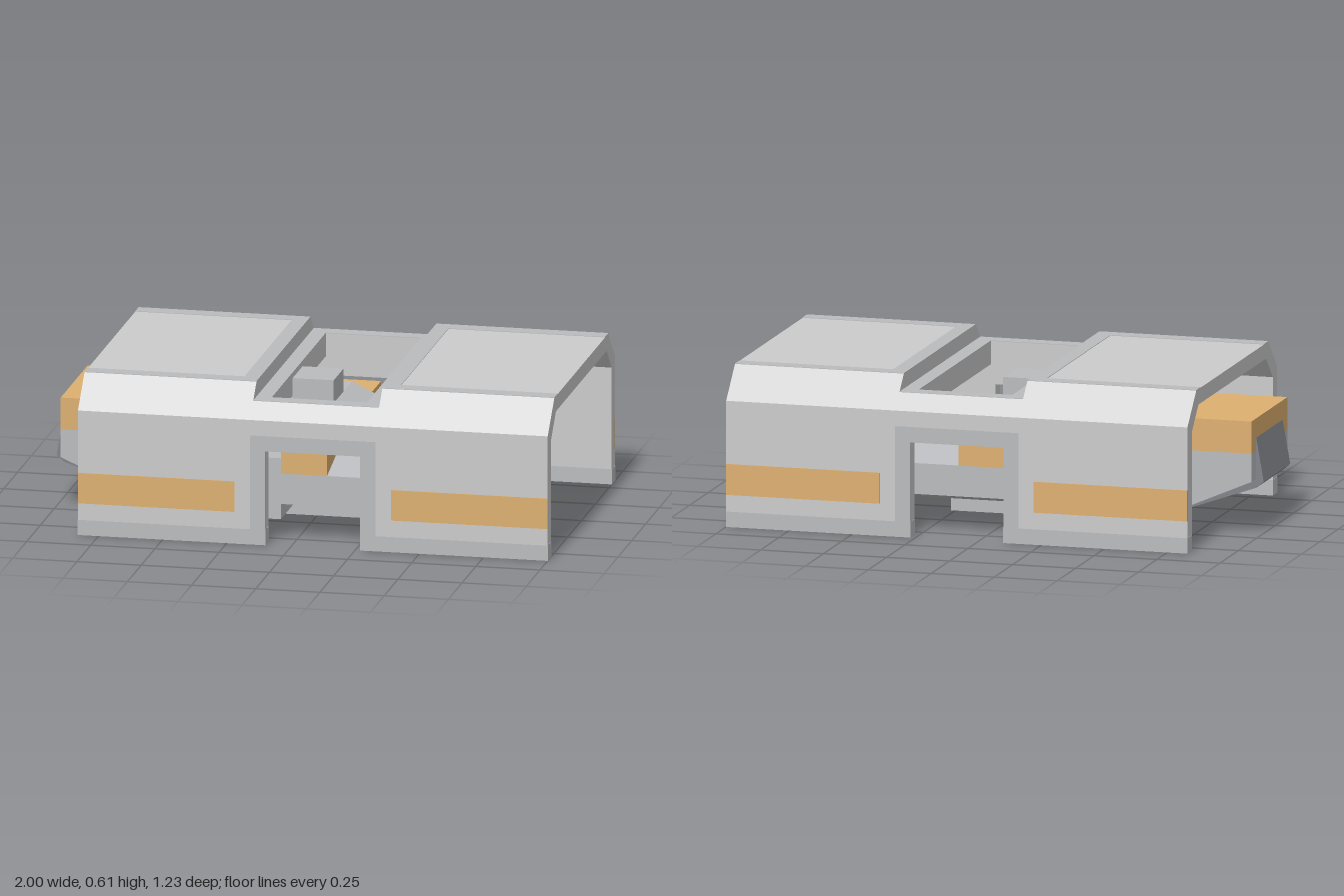
import * as THREE from 'three';

const mat = (color) => new THREE.MeshStandardMaterial({ color, flatShading: true });

export function createModel() {
  const model = new THREE.Group();
  const light = mat(0xcccccc), trim = mat(0xb9bbbe), orange = mat(0xddb070), dark = mat(0x808388);
  const CZ = 0.025; // centre line of the inner craft

  const add = (name, geometry, material) => {
    const mesh = new THREE.Mesh(geometry, material);
    mesh.name = name;
    model.add(mesh);
    return mesh;
  };
  const box = (name, x0, x1, y0, y1, z0, z1, material) => add(name,
    new THREE.BoxGeometry(x1 - x0, y1 - y0, Math.abs(z1 - z0))
      .translate((x0 + x1) / 2, (y0 + y1) / 2, (z0 + z1) / 2), material);
  const vecs = (pts) => pts.map(([a, b]) => new THREE.Vector2(a, b));
  // section given as (z, y), swept along x
  const prismX = (name, pts, x0, x1, material, hole) => {
    const shape = new THREE.Shape(vecs(pts));
    if (hole) shape.holes.push(new THREE.Path(vecs(hole)));
    const g = new THREE.ExtrudeGeometry(shape, { depth: x1 - x0, bevelEnabled: false });
    return add(name, g.rotateY(-Math.PI / 2).translate(x1, 0, 0), material);
  };
  // side profile given as (x, y), swept along z
  const prismZ = (name, pts, z0, z1, material) => add(name,
    new THREE.ExtrudeGeometry(new THREE.Shape(vecs(pts)), { depth: z1 - z0, bevelEnabled: false })
      .translate(0, 0, z0), material);
  const mirrored = (half) => [...half, ...half.slice().reverse().map(([z, y]) => [-z, y])];

  // Outer shell: two full arches, a lowered frame between them
  const outer = mirrored([[0.61, 0], [0.61, 0.49], [0.49, 0.61]]);
  const inner = mirrored([[0.55, 0], [0.55, 0.46], [0.46, 0.55]]);
  const arch = [...outer, ...inner.slice().reverse()];
  prismX('shellRight', arch, -0.83, -0.16, light);
  prismX('shellLeft', arch, 0.33, 1, light);
  const lowArch = [...mirrored([[0.61, 0], [0.61, 0.49], [0.55, 0.55]]),
    ...mirrored([[0.55, 0], [0.55, 0.46]]).reverse()];
  prismX('frameRibRight', lowArch, -0.16, -0.1, light);
  prismX('frameRibLeft', lowArch, 0.27, 0.33, light);

  // Trim on the recessed frame
  const ring = new THREE.Shape(vecs([[-0.16, -0.55], [0.33, -0.55], [0.33, 0.55], [-0.16, 0.55]]));
  ring.holes.push(new THREE.Path(vecs([[-0.1, -0.49], [0.27, -0.49], [0.27, 0.49], [-0.1, 0.49]])));
  add('frameTrim', new THREE.ExtrudeGeometry(ring, { depth: 0.002, bevelEnabled: false })
    .rotateX(-Math.PI / 2).translate(0, 0.55, 0), trim);

  for (const s of [1, -1]) {
    // Beam above the doorway
    prismX('doorBeam', [[0.61, 0.37], [0.61, 0.49], [0.55, 0.55], [0.49, 0.55], [0.49, 0.46],
      [0.55, 0.46], [0.55, 0.37]].map(([z, y]) => [s * z, y]), -0.1, 0.27, light);
    // Doorway trim on the outer wall
    const a = s * 0.605, b = s * 0.612;
    box('doorTrimRight', -0.16, -0.1, 0.06, 0.43, a, b, trim);
    box('doorTrimLeft', 0.27, 0.33, 0.06, 0.43, a, b, trim);
    box('doorTrimTop', -0.1, 0.27, 0.37, 0.43, a, b, trim);
    // Skirt, stripe and roof edging of each half
    for (const [x0, x1, p0, p1, e0, e1] of [
      [-0.83, -0.1, -0.83, -0.22, -0.22, -0.16], [0.27, 1, 0.39, 1, 0.33, 0.39]]) {
      box('skirtTrim', x0 - 0.001, x1 + 0.001, 0, 0.06, s * 0.549, s * 0.612, trim);
      box('sideStripe', p0, p1, 0.125, 0.245, a, s * 0.613, orange);
      box('roofEdge', p0, p1, 0.605, 0.612, s * 0.43, s * 0.49, trim);
      if (s > 0) box('roofInnerEdge', e0, e1, 0.605, 0.612, -0.49, 0.49, trim);
    }
  }

  // Inner craft: body with a sloped tail and an undercut nose
  prismZ('body', [[-0.97, 0.21], [-0.67, 0.08], [0.5, 0.08], [0.5, 0.32], [0.31, 0.32],
    [0.06, 0.44], [-0.45, 0.44], [-0.45, 0.32], [-0.97, 0.32]], CZ - 0.245, CZ + 0.245, trim);
  box('noseRoof', -0.97, -0.45, 0.32, 0.445, CZ - 0.245, CZ + 0.245, orange);
  prismZ('noseWindow', [[-0.97, 0.37], [-1, 0.2], [-0.97, 0.175], [-0.7, 0.08], [-0.7, 0.12],
    [-0.95, 0.22]], CZ - 0.18, CZ + 0.18, dark);
  box('roofHatch', -0.1, 0.06, 0.44, 0.53, CZ - 0.09, CZ + 0.09, trim);
  box('keel', -0.5, 0.24, 0.02, 0.08, CZ - 0.185, CZ + 0.185, trim);

  // Side pods with open ends
  for (const s of [1, -1]) {
    const at = (pts) => pts.map(([w, y]) => [CZ + s * w, y]);
    const section = at([[0.245, 0.08], [0.49, 0.14], [0.49, 0.26], [0.245, 0.32]]);
    const opening = at([[0.275, 0.115], [0.46, 0.165], [0.46, 0.24], [0.275, 0.285]]);
    prismX('pod', section, -0.06, 0.42, trim);
    prismX('podRim', section, 0.42, 0.5, trim, opening);
    prismX('podInterior', opening, 0.42, 0.425, dark);
    const z0 = CZ + s * 0.245, z1 = CZ + s * 0.49;
    box('podRoot', -0.45, -0.06, 0.08, 0.32, z0, z1, trim);
    prismX('podCover', at([[0.245, 0.32], [0.49, 0.26], [0.49, 0.38], [0.245, 0.38]]),
      -0.06, 0.12, orange);
    box('podRail', -0.45, -0.06, 0.32, 0.379, CZ + s * 0.34, CZ + s * 0.395, orange);
  }
  return model;
}
